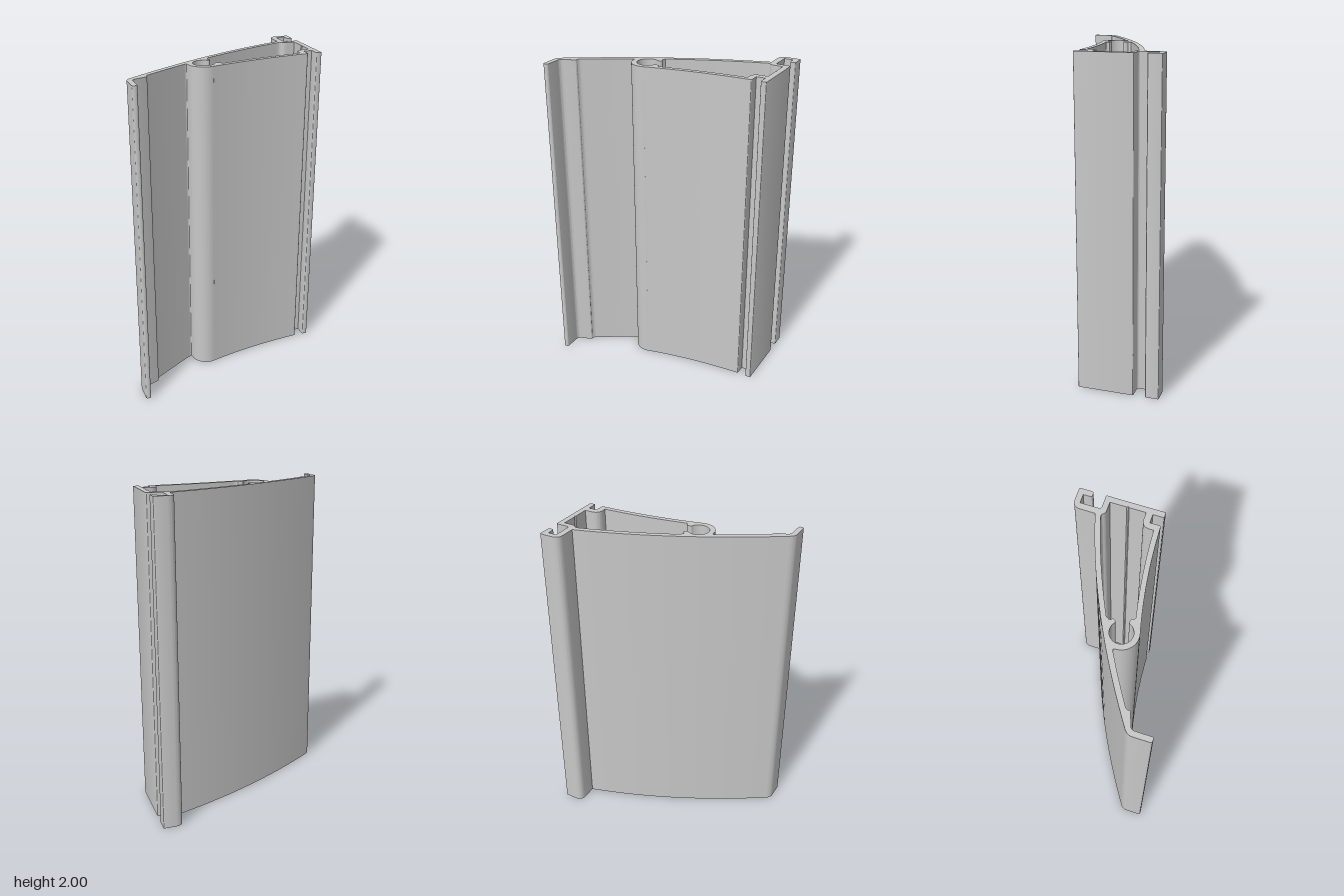
import * as THREE from 'three';
import { toCreasedNormals } from 'three/addons/utils/BufferGeometryUtils.js';

const HEIGHT = 2;
const SEGMENTS = 24; // per rounded corner
const WEB = 0.038; // skin thickness measured along z
const BOSS = { x: -0.12, z: 0.0815, outer: 0.097, inner: 0.0645 };

// Plan helpers: sections are given as (x, z); the shape plane uses -z.
const line = (path, ...pts) => pts.forEach(([x, z]) => path.lineTo(x, -z));
const curve = (path, cx, cz, x, z) => path.quadraticCurveTo(cx, -cz, x, -z);

// Bowed outer skin, z as a function of x
function skin(x) {
  const t = (x + 0.6) / 1.105;
  return 0.255 - 0.53 * t - 0.2 * t * (1 - t);
}
function followSkin(path, x0, x1, offset, steps = 24) {
  for (let i = 0; i <= steps; i++) {
    const x = x0 + ((x1 - x0) * i) / steps;
    path.lineTo(x, -(skin(x) + offset));
  }
}

function outerContour() {
  const s = new THREE.Shape();
  // left lip and bowed skin
  s.moveTo(-0.632, -0.393);
  line(s, [-0.632, 0.305]);
  curve(s, -0.632, 0.275, -0.6, 0.255);
  followSkin(s, -0.59, 0.505, 0);
  // rear hook
  line(s, [0.505, -0.36]);
  curve(s, 0.505, -0.409, 0.555, -0.409);
  line(s, [0.624, -0.409]);
  curve(s, 0.632, -0.409, 0.632, -0.401);
  line(s, [0.632, -0.337]);
  curve(s, 0.632, -0.324, 0.619, -0.324);
  line(s, [0.61, -0.324]);
  curve(s, 0.597, -0.324, 0.597, -0.337);
  line(s, [0.597, -0.375], [0.543, -0.375], [0.543, -0.267]);
  curve(s, 0.543, -0.253, 0.557, -0.253);
  // flat side wall
  line(s, [0.624, -0.253]);
  curve(s, 0.632, -0.253, 0.632, -0.245);
  line(s, [0.632, 0.084]);
  curve(s, 0.632, 0.092, 0.624, 0.092);
  line(s, [0.605, 0.092]);
  curve(s, 0.597, 0.092, 0.597, 0.084);
  // front slot
  line(s, [0.597, 0.027], [0.543, 0.027], [0.543, 0.08]);
  curve(s, 0.543, 0.09, 0.53, 0.09);
  // front wall and screw boss
  curve(s, 0.2, 0.103, -0.094, 0.175);
  s.absarc(BOSS.x, -BOSS.z, BOSS.outer, -1.3, -Math.PI, true);
  curve(s, -0.217, 0.066, -0.228, 0.07);
  // underside of the skin, small step and left lip
  followSkin(s, -0.235, -0.5, WEB);
  curve(s, -0.51, 0.24, -0.506, 0.247);
  curve(s, -0.505, 0.256, -0.515, 0.259);
  line(s, [-0.58, 0.281]);
  curve(s, -0.6, 0.289, -0.6, 0.308);
  line(s, [-0.6, 0.393]);
  curve(s, -0.6, 0.408, -0.612, 0.408);
  line(s, [-0.62, 0.408]);
  curve(s, -0.632, 0.408, -0.632, 0.393);
  return s;
}

// Hollow chamber, joined with the open screw channel
function chamber() {
  const h = new THREE.Path();
  h.moveTo(-0.07, -0.006);
  followSkin(h, -0.06, 0.495, WEB - 0.005);
  curve(h, 0.507, -0.242, 0.515, -0.233);
  curve(h, 0.525, -0.22, 0.545, -0.22);
  line(h, [0.597, -0.22], [0.597, -0.123], [0.604, -0.116], [0.597, -0.109], [0.597, -0.012]);
  line(h, [0.555, -0.012]);
  curve(h, 0.505, -0.012, 0.505, 0.038);
  line(h, [0.505, 0.06]);
  curve(h, 0.24, 0.073, -0.02, 0.127);
  // lower nub, round channel, upper nub
  curve(h, -0.028, 0.125, -0.028, 0.115);
  curve(h, -0.029, 0.108, -0.036, 0.106);
  line(h, [-0.05, 0.102]);
  curve(h, -0.06, 0.1, -0.065, 0.115);
  h.absarc(BOSS.x, -BOSS.z, BOSS.inner, -0.55, 0.88 - Math.PI * 2, true);
  curve(h, -0.07, 0.036, -0.064, 0.026);
  curve(h, -0.056, 0.017, -0.064, 0.008);
  curve(h, -0.073, 0.002, -0.07, -0.006);
  // run the hole against the outer contour so its walls face inward
  return new THREE.Path(h.getPoints(SEGMENTS).reverse());
}

export function createModel() {
  const aluminium = new THREE.MeshStandardMaterial({ color: 0xc8c8c8 });
  const section = outerContour();
  section.holes.push(chamber());

  // Straight extrusion, stood upright
  const geometry = new THREE.ExtrudeGeometry(section, {
    depth: HEIGHT, bevelEnabled: false, curveSegments: SEGMENTS,
  });
  geometry.rotateX(-Math.PI / 2);

  const profile = new THREE.Mesh(toCreasedNormals(geometry, 0.5), aluminium);
  profile.name = 'extrudedProfile';
  const group = new THREE.Group();
  group.name = 'hollowRail';
  group.add(profile);
  return group;
}
